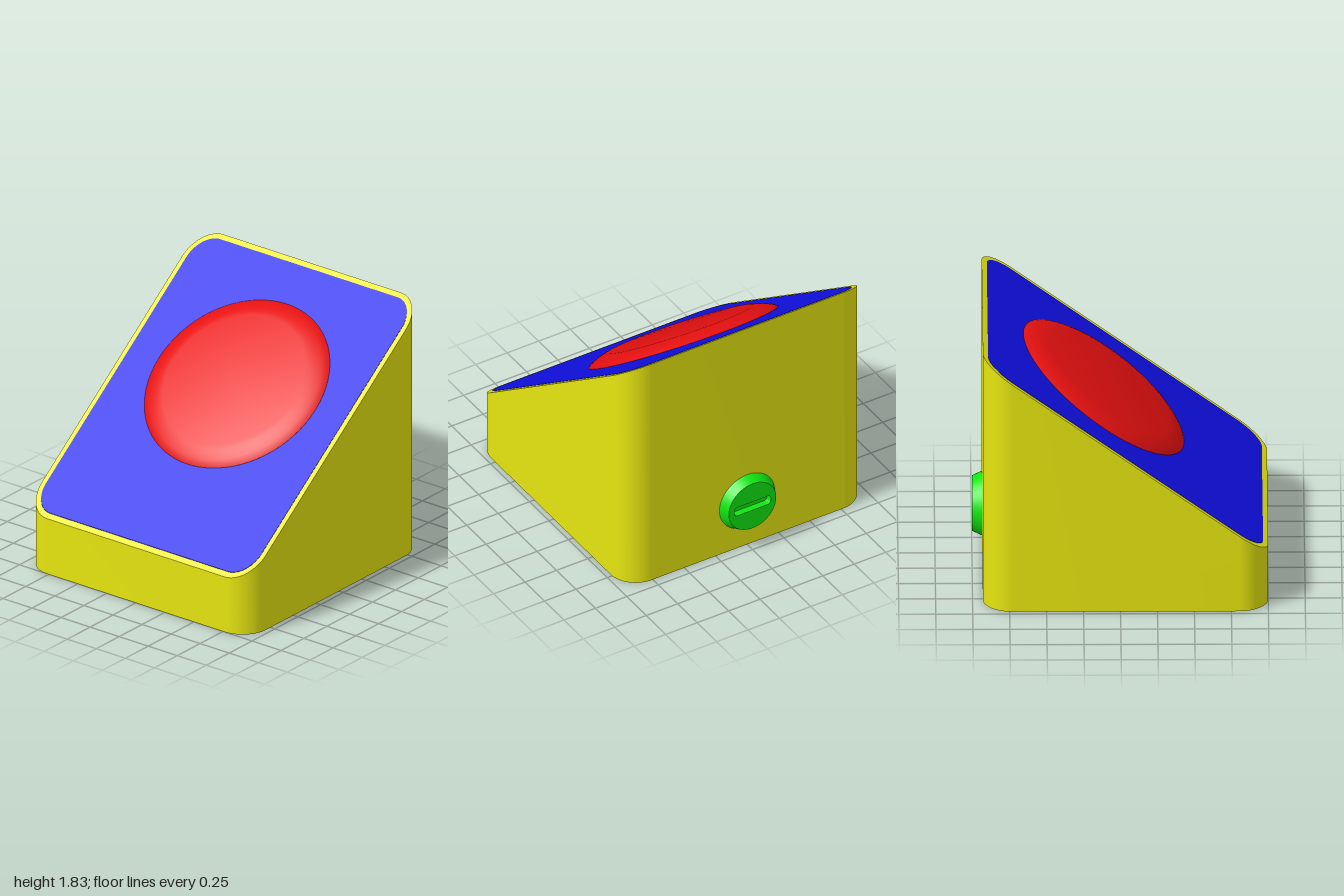
import * as THREE from 'three';
import { toCreasedNormals } from 'three/addons/utils/BufferGeometryUtils.js';

const SLOPE = 0.7358;                              // rise of the sloped top per unit of z
const topY = (z) => 0.41 + (1 - z) * SLOPE;
const CENTRE_Z = 0.035;

const paint = (name, color) => {
  const m = new THREE.MeshStandardMaterial({ color });
  m.name = name;
  return m;
};

function roundedRect(path, hw, hh, r) {
  path.moveTo(hw, -hh + r);
  path.absarc(hw - r, hh - r, r, 0, Math.PI / 2);
  path.absarc(-hw + r, hh - r, r, Math.PI / 2, Math.PI);
  path.absarc(-hw + r, -hh + r, r, Math.PI, Math.PI * 1.5);
  path.absarc(hw - r, -hh + r, r, Math.PI * 1.5, Math.PI * 2);
  return path;
}

// Upright rounded block whose lower and upper ends follow the given heights
function slopedBlock(hw, hd, r, bottom, top) {
  const shape = roundedRect(new THREE.Shape(), hw, hd, r);
  const g = new THREE.ExtrudeGeometry(shape, { depth: 1, bevelEnabled: false, curveSegments: 16 });
  g.rotateX(-Math.PI / 2);
  g.translate(0, 0, CENTRE_Z);
  const p = g.attributes.position;
  for (let i = 0; i < p.count; i++) {
    const z = p.getZ(i);
    p.setY(i, p.getY(i) > 0.5 ? top(z) : bottom(z));
  }
  return toCreasedNormals(g, 0.5);
}

export function createModel() {
  const model = new THREE.Group();
  const yellow = paint('yellow', 0xe6e610);
  const blue = paint('blue', 0x1010e6);
  const red = paint('red', 0xe61010);
  const green = paint('green', 0x10e610);

  const add = (name, geometry, material, parent = model) => {
    const mesh = new THREE.Mesh(geometry, material);
    mesh.name = name;
    parent.add(mesh);
    return mesh;
  };

  // Wedge housing and the thin panel on its slope
  add('housing', slopedBlock(0.963, 0.965, 0.2, () => 0, topY), yellow);
  add('slopedPanel', slopedBlock(0.927, 0.93, 0.165,
    (z) => topY(z) - 0.002, (z) => topY(z) + 0.003), blue);

  // Large round push button lying on the slope
  const profile = [[0.675, -0.01], [0.675, 0.003], [0.655, 0.018], [0.625, 0.032],
    [0.59, 0.045], [0.555, 0.055], [0.52, 0.062], [0, 0.064]]
    .map(([r, y]) => new THREE.Vector2(r, y));
  const button = add('pushButton',
    toCreasedNormals(new THREE.LatheGeometry(profile, 72), 0.4), red);
  button.position.set(0, topY(-0.11), -0.11);
  button.rotation.x = Math.atan(SLOPE);

  // Tapered knob on the back with a recessed slot
  const knob = new THREE.Group();
  knob.name = 'backKnob';
  knob.position.set(0, 0.37, -0.93);
  knob.rotation.y = Math.PI;                       // local +z points out of the back
  model.add(knob);
  const rim = new THREE.CylinderGeometry(0.188, 0.22, 0.07, 48, 1, true);
  rim.rotateX(Math.PI / 2);
  rim.translate(0, 0, 0.035);
  add('knobRim', rim, green, knob);
  const face = new THREE.Shape().absarc(0, 0, 0.188, 0, Math.PI * 2);
  face.holes.push(roundedRect(new THREE.Path(), 0.145, 0.035, 0.025));
  const faceGeometry = new THREE.ExtrudeGeometry(face,
    { depth: 0.05, bevelEnabled: false, curveSegments: 24 });
  faceGeometry.translate(0, 0, 0.02);
  add('knobFace', toCreasedNormals(faceGeometry, 0.6), green, knob);
  const floor = add('slotFloor', new THREE.PlaneGeometry(0.3, 0.08), green, knob);
  floor.position.z = 0.021;

  return model;
}
